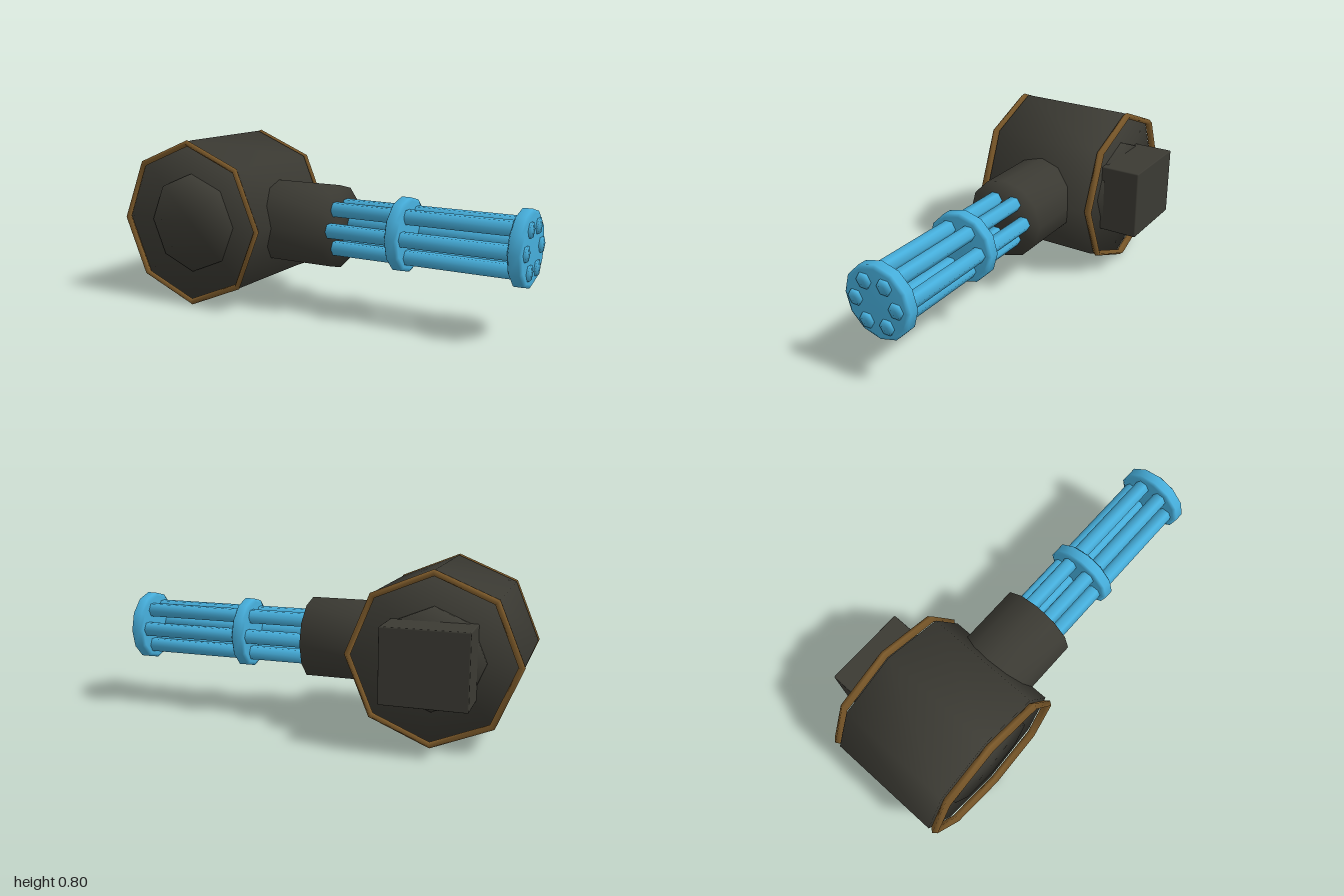
import * as THREE from 'three';
import { mergeVertices } from 'three/addons/utils/BufferGeometryUtils.js';
import { RoundedBoxGeometry } from 'three/addons/geometries/RoundedBoxGeometry.js';

// Weld all corners so the shading runs softly over every edge
function soften(geometry) {
  geometry.deleteAttribute('normal');
  geometry.deleteAttribute('uv');
  const welded = mergeVertices(geometry, 1e-4);
  welded.computeVertexNormals();
  return welded;
}

// Softly shaded prism between two positions along the x or z axis
function prism(radius, sides, from, to, axis) {
  const g = new THREE.CylinderGeometry(radius, radius, to - from, sides);
  if (axis === 'x') g.rotateZ(-Math.PI / 2).translate((from + to) / 2, 0, 0);
  else g.rotateX(Math.PI / 2).translate(0, 0, (from + to) / 2);
  return soften(g);
}

export function createModel() {
  const model = new THREE.Group();
  model.name = 'rotaryCannon';

  const material = (name, color) => {
    const m = new THREE.MeshStandardMaterial({ color });
    m.name = name;
    return m;
  };
  const dark = material('darkMetal', 0x3b3a33);
  const bronze = material('bronze', 0x7d5a2a);
  const blue = material('blueMetal', 0x46aedb);

  const add = (name, geometry, mat, x, y, z) => {
    const mesh = new THREE.Mesh(geometry, mat);
    mesh.name = name;
    mesh.position.set(x, y, z);
    model.add(mesh);
    return mesh;
  };

  const drumX = -0.598, axisY = 0.406, barrelZ = 0.077;

  // Octagonal ammunition drum with a shallow hub through it
  add('drum', prism(0.398, 8, -0.203, 0.356, 'z'), dark, drumX, axisY, 0);
  add('drumHub', prism(0.238, 8, -0.217, 0.37, 'z'), dark, drumX, axisY, 0);

  // Bronze rims standing just off both ends of the drum
  for (const [name, z] of [['frontRim', 0.381], ['backRim', -0.229]]) {
    const rim = add(name, new THREE.TorusGeometry(0.387, 0.015, 4, 8), bronze, drumX, axisY, z);
    rim.scale.z = 1.3;
  }

  // Mounting block on the back
  add('mountBlock', new RoundedBoxGeometry(0.394, 0.344, 0.2, 1, 0.006), dark, -0.598, axisY, -0.3);

  // Barrel housing growing out of the drum
  add('barrelHousing', prism(0.198, 12, -0.42, 0.06, 'x'), dark, 0, axisY, barrelZ);

  // Bevelled discs that hold the barrels together
  const discProfile = [[0, -0.032], [0.155, -0.032], [0.172, -0.022], [0.172, 0.022], [0.155, 0.032], [0, 0.032]]
    .map(([r, h]) => new THREE.Vector2(r, h));
  for (const [name, x] of [['middleDisc', 0.4], ['muzzleDisc', 0.96]]) {
    const disc = new THREE.LatheGeometry(discProfile, 12).rotateZ(-Math.PI / 2);
    add(name, soften(disc), blue, x, axisY, barrelZ);
  }

  // Six hexagonal barrels in a ring
  const barrel = prism(0.037, 6, 0.04, 1.0, 'x');
  for (let i = 0; i < 6; i++) {
    const a = (i / 6) * Math.PI * 2;
    add('barrel' + (i + 1), barrel, blue, 0, axisY + 0.106 * Math.sin(a), barrelZ + 0.106 * Math.cos(a));
  }

  return model;
}
